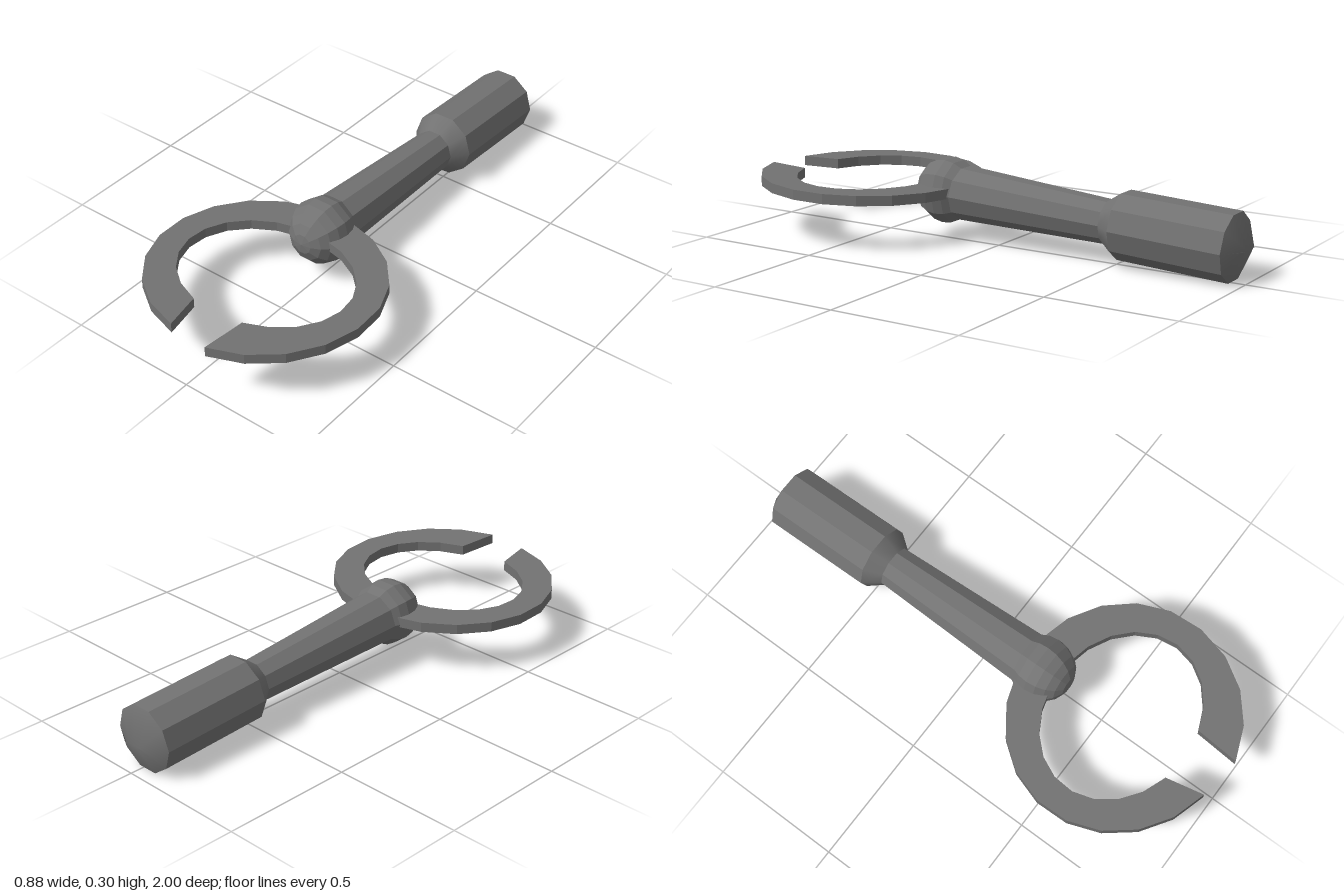
import * as THREE from 'three';
import { mergeVertices } from 'three/addons/utils/BufferGeometryUtils.js';

const SIDES = 10;
const COLOR = 0x727272;
const flat = new THREE.MeshStandardMaterial({ color: COLOR, flatShading: true });
const smooth = new THREE.MeshStandardMaterial({ color: COLOR });

function add(parent, name, geometry, material = flat) {
  const mesh = new THREE.Mesh(geometry, material);
  mesh.name = name;
  parent.add(mesh);
  return mesh;
}

// Ten-sided turned form running backwards along -z, flat side up.
// Each profile point is [radius, distance behind the ball].
function turned(profile) {
  const points = profile.map(([r, d]) => new THREE.Vector2(r, d));
  return new THREE.LatheGeometry(points, SIDES, Math.PI / SIDES).rotateX(-Math.PI / 2);
}

// Shallow end cap whose inner ring is pinched into a short horizontal ridge.
function pinchedCap(radius, ridge, start, end) {
  let g = turned([[radius, start], [ridge, end]]);
  const p = g.attributes.position;
  for (let i = 0; i < p.count; i++) {
    if (p.getZ(i) < -(start + end) / 2) p.setY(i, 0);
  }
  g.deleteAttribute('normal');
  g.deleteAttribute('uv');
  g = mergeVertices(g);
  g.computeVertexNormals();
  return g;
}

// Open oval ring: outer and inner arcs have their own ends so the gap is cut askew.
// The outer edge bulges a little further at the front of the +x arm.
function openRing(thickness) {
  const segments = 19;
  const arc = (rx, rz, rzBulge, from, to) =>
    Array.from({ length: segments + 1 }, (_, i) => {
      const a = THREE.MathUtils.degToRad(from + ((to - from) * i) / segments);
      const x = rx * Math.sin(a);
      const c = Math.cos(a);
      return new THREE.Vector2(x, -(x > 0 && c > 0 ? rzBulge : rz) * c);
    });
  const outer = arc(0.441, 0.41, 0.437, 13, 351);
  const inner = arc(0.338, 0.272, 0.272, 19.7, 343);
  const shape = new THREE.Shape([...outer, ...inner.reverse()]);
  return new THREE.ExtrudeGeometry(shape, { depth: thickness, bevelEnabled: false })
    .translate(0, 0, -thickness / 2)
    .rotateX(-Math.PI / 2);
}

export function createModel() {
  const model = new THREE.Group();
  model.name = 'openRingWithHandle';

  // Handle, drooping slightly towards the back
  const handle = new THREE.Group();
  handle.name = 'handle';
  handle.position.set(-0.019, 0.182, 0.235);
  handle.rotation.x = -0.0505;
  model.add(handle);

  const ball = new THREE.SphereGeometry(0.127, SIDES, 10)
    .rotateX(Math.PI / 2)
    .scale(0.97, 1, 0.97);
  add(handle, 'ball', ball);
  add(handle, 'shaft', turned([[0.106, 0], [0.0815, 0.69]]));
  add(handle, 'collar', turned([[0.0815, 0.69], [0.1275, 0.752]]), smooth);
  add(handle, 'grip', turned([[0.1275, 0.752], [0.1275, 1.187]]));
  add(handle, 'endCap', pinchedCap(0.1275, 0.042, 1.187, 1.237), smooth);

  // Ring in front of the handle, tipped very slightly
  const ring = add(model, 'openRing', openRing(0.038));
  ring.position.set(0, 0.197, 0.574);
  ring.rotation.set(-0.018, 0, 0.008);

  return model;
}
